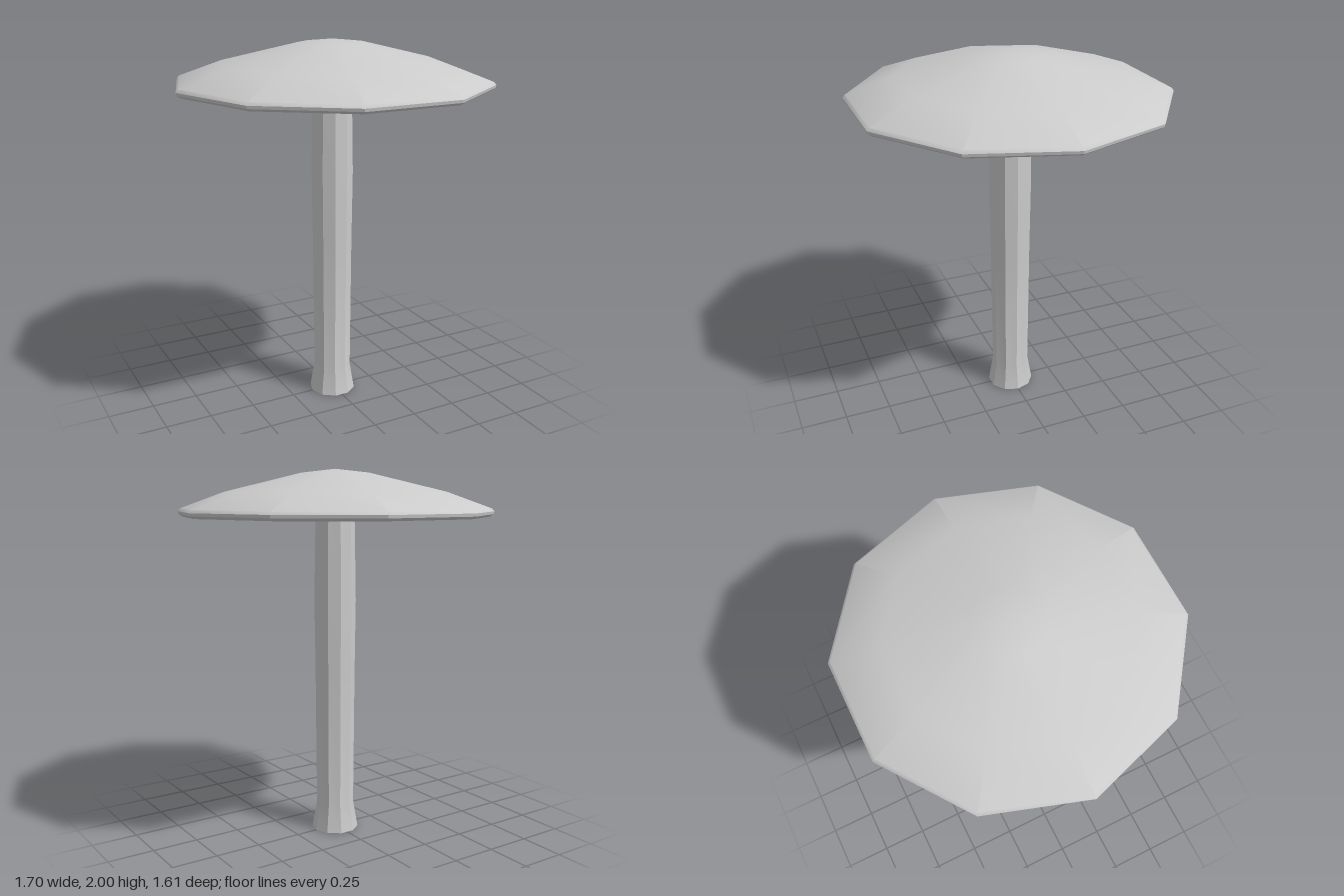
import * as THREE from 'three';
import { toCreasedNormals } from 'three/addons/utils/BufferGeometryUtils.js';

const SIDES = 10;

// Ten-sided turned part; profile runs as [radius, y] from the bottom axis to the top axis
function turned(name, profile, material) {
  const points = profile.map(([r, y]) => new THREE.Vector2(r, y));
  const lathe = new THREE.LatheGeometry(points, SIDES);
  lathe.rotateY(Math.PI / 2); // corners on the x axis
  const mesh = new THREE.Mesh(toCreasedNormals(lathe, THREE.MathUtils.degToRad(30)), material);
  mesh.name = name;
  return mesh;
}

export function createModel() {
  const group = new THREE.Group();
  group.name = 'parasol';
  const grey = new THREE.MeshStandardMaterial({ color: 0xcccccc });

  // Post with a flared foot and a slight swell, running up into the canopy
  group.add(turned('post', [
    [0, 0], [0.128, 0], [0.103, 0.15], [0.108, 0.9], [0.113, 1.3], [0.105, 1.75], [0.105, 1.95], [0, 1.95],
  ], grey));

  // Thin hollow canopy: underside, rolled rim, then the domed top
  group.add(turned('canopy', [
    [0, 1.945], [0.18, 1.925], [0.59, 1.83], [0.8, 1.755], [0.825, 1.75],
    [0.845, 1.763], [0.848, 1.778], [0.835, 1.793], [0.595, 1.88], [0.18, 1.98], [0, 2],
  ], grey));

  return group;
}
